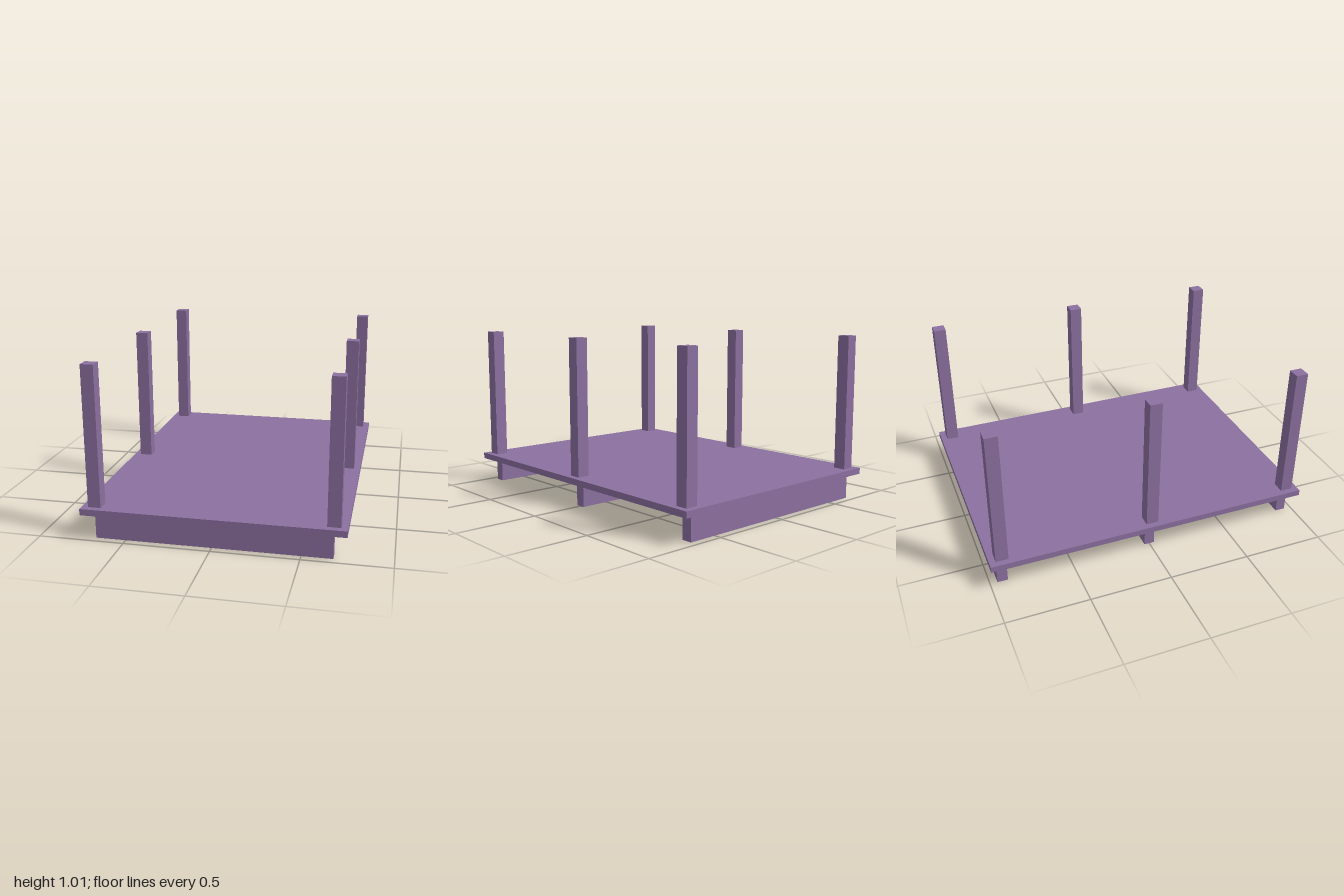
import * as THREE from 'three';

export function createModel() {
  const model = new THREE.Group();
  model.name = 'platformWithPosts';

  const purple = new THREE.MeshStandardMaterial({ color: 0x8c70a0 });
  purple.name = 'mutedPurple';

  // Adds a box whose underside sits at the given height
  function addBox(name, [w, h, d], x, bottom, z) {
    const mesh = new THREE.Mesh(new THREE.BoxGeometry(w, h, d), purple);
    mesh.name = name;
    mesh.position.set(x, bottom + h / 2, z);
    model.add(mesh);
  }

  const runnerHeight = 0.15;
  const deckThickness = 0.0375;
  const deckTop = runnerHeight + deckThickness;

  // Flat deck
  addBox('deck', [1.5, deckThickness, 2], 0, runnerHeight, 0);

  // Three rows: a cross runner below the deck and a pair of posts above it
  const rows = [['front', 0.925], ['middle', 0], ['back', -0.925]];
  for (const [row, z] of rows) {
    addBox(`${row}Runner`, [1.35, runnerHeight, 0.0625], 0, 0, z);
    for (const [side, x] of [['Left', 0.675], ['Right', -0.675]]) {
      addBox(`${row}${side}Post`, [0.075, 0.825, 0.075], x, deckTop, z);
    }
  }

  return model;
}
